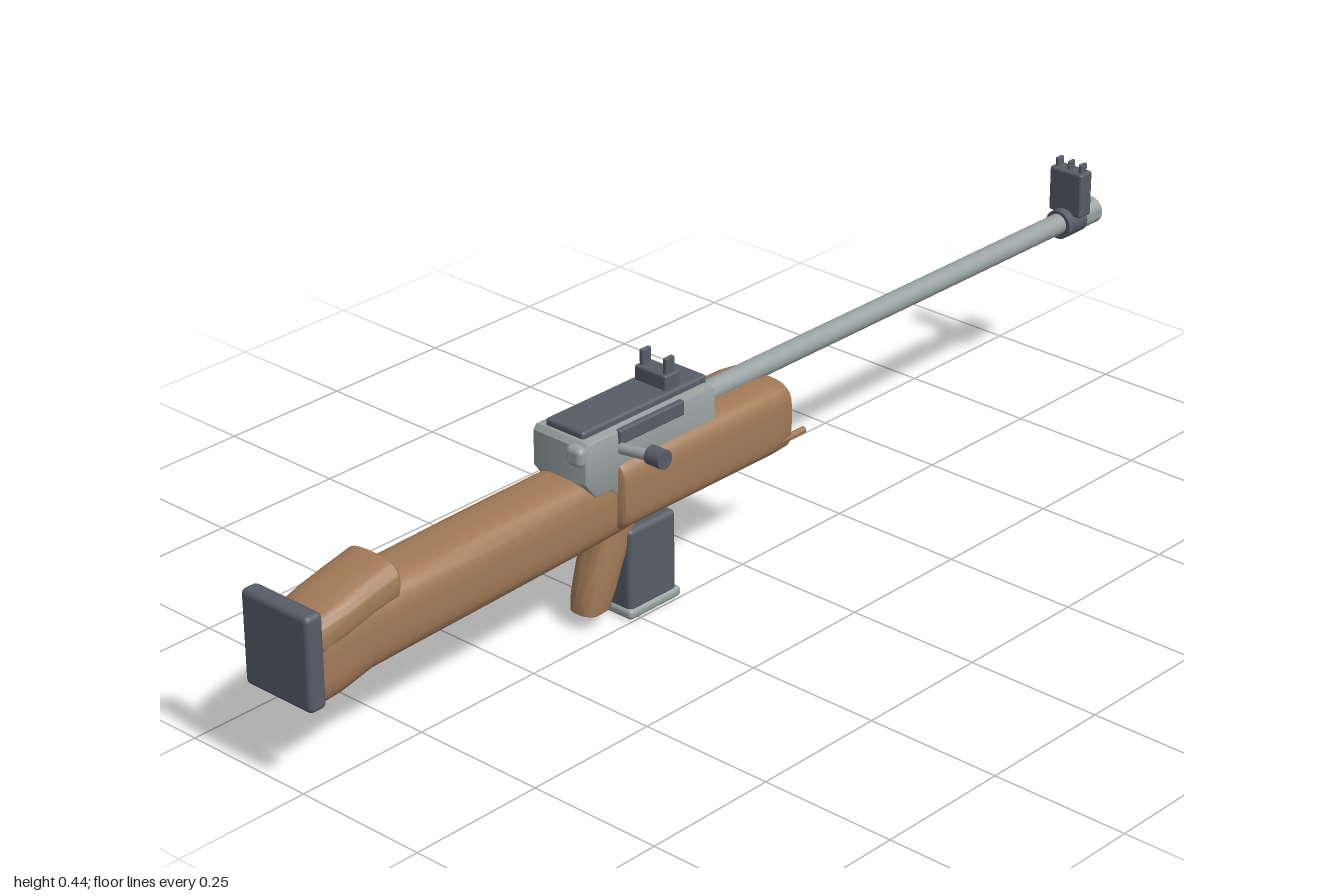
import * as THREE from 'three';
import { RoundedBoxGeometry } from 'three/addons/geometries/RoundedBoxGeometry.js';
import { toCreasedNormals } from 'three/addons/utils/BufferGeometryUtils.js';

const CX = -0.047; // centre line of the body

const wood = new THREE.MeshStandardMaterial({ name: 'wood', color: 0xa27a58 });
const steel = new THREE.MeshStandardMaterial({ name: 'steel', color: 0x99a2a2 });
const darkMetal = new THREE.MeshStandardMaterial({ name: 'darkMetal', color: 0x575c66 });

// Skin over superellipse sections [z, centreY, halfWidth, halfHeight, power], z increasing
function loft(sections, sides = 40) {
  const pos = [], idx = [];
  const n = sections.length;
  for (const [z, cy, hw, hh, p] of sections) {
    for (let j = 0; j < sides; j++) {
      const t = ((j + 0.5) / sides) * Math.PI * 2;
      const c = Math.cos(t), s = Math.sin(t);
      pos.push(hw * Math.sign(c) * Math.abs(c) ** (2 / p), cy + hh * Math.sign(s) * Math.abs(s) ** (2 / p), z);
    }
  }
  for (let i = 0; i < n - 1; i++) {
    for (let j = 0; j < sides; j++) {
      const k = (j + 1) % sides;
      const a = i * sides + j, b = i * sides + k, c = b + sides, d = a + sides;
      idx.push(a, b, c, a, c, d);
    }
  }
  pos.push(0, sections[0][1], sections[0][0], 0, sections[n - 1][1], sections[n - 1][0]);
  const last = (n - 1) * sides;
  for (let j = 0; j < sides; j++) {
    const k = (j + 1) % sides;
    idx.push(n * sides, k, j, n * sides + 1, last + j, last + k);
  }
  const g = new THREE.BufferGeometry();
  g.setAttribute('position', new THREE.Float32BufferAttribute(pos, 3));
  g.setIndex(idx);
  return toCreasedNormals(g, 0.7);
}

export function createModel() {
  const model = new THREE.Group();
  model.name = 'targetRifle';

  const add = (name, geometry, material, x = 0, y = 0, z = 0, parent = model) => {
    const mesh = new THREE.Mesh(geometry, material);
    mesh.name = name;
    mesh.position.set(x, y, z);
    parent.add(mesh);
    return mesh;
  };
  // Rounded box given by its extents
  const box = (name, material, [x0, x1], [y0, y1], [z0, z1], r) =>
    add(name, new RoundedBoxGeometry(x1 - x0, y1 - y0, z1 - z0, 2, r), material,
      (x0 + x1) / 2, (y0 + y1) / 2, (z0 + z1) / 2);
  // Cylinder lying along z
  const rod = (name, material, r, x, y, z0, z1, sides = 24) =>
    add(name, new THREE.CylinderGeometry(r, r, z1 - z0, sides).rotateX(Math.PI / 2), material, x, y, (z0 + z1) / 2);

  // Butt plate
  box('buttPlate', darkMetal, [-0.122, 0.028], [0.148, 0.315], [0.965, 1], 0.01);
  box('buttSpacer', wood, [-0.09, -0.005], [0.17, 0.265], [0.94, 0.975], 0.008);

  // Wooden stock, from under the action back to the butt
  add('stock', loft([
    [0.1, 0.23, 0.054, 0.045, 3.5], [0.3, 0.232, 0.058, 0.064, 3.5], [0.4, 0.231, 0.06, 0.067, 3.5],
    [0.6, 0.226, 0.063, 0.067, 3.5], [0.78, 0.221, 0.065, 0.066, 3.5], [0.85, 0.217, 0.063, 0.066, 3.5],
    [0.91, 0.206, 0.06, 0.072, 3.5], [0.945, 0.203, 0.059, 0.073, 3.5], [0.958, 0.204, 0.054, 0.066, 3.5],
  ]), wood, CX);

  // Raised cheek piece
  add('cheekPiece', loft([
    [0.788, 0.285, 0.054, 0.033, 3], [0.795, 0.284, 0.06, 0.039, 3], [0.85, 0.273, 0.06, 0.038, 3],
    [0.9, 0.261, 0.06, 0.038, 3], [0.95, 0.247, 0.058, 0.038, 3], [0.957, 0.246, 0.053, 0.033, 3],
  ]), wood, CX);

  // Fore-end
  add('foreEnd', loft([
    [-0.105, 0.249, 0.064, 0.054, 4], [-0.094, 0.249, 0.072, 0.063, 4.5], [-0.06, 0.25, 0.075, 0.065, 4.5],
    [0.295, 0.25, 0.075, 0.065, 4.5], [0.308, 0.25, 0.073, 0.063, 4.5], [0.312, 0.25, 0.068, 0.058, 4.5],
  ]), wood, CX);
  for (const x of [-0.114, 0.02]) rod('foreEndPin', wood, 0.006, x, 0.213, -0.132, -0.07, 12);

  // Pistol grip, skinned upwards
  add('pistolGrip', loft([
    [0.025, -0.32, 0.022, 0.02, 2.6], [0.031, -0.32, 0.029, 0.031, 2.6], [0.06, -0.312, 0.032, 0.036, 2.6],
    [0.11, -0.295, 0.036, 0.036, 2.6], [0.15, -0.278, 0.036, 0.04, 2.6], [0.195, -0.265, 0.037, 0.048, 2.6],
  ]).rotateX(-Math.PI / 2), wood, CX);

  // Magazine
  box('magazine', darkMetal, [-0.089, -0.005], [0.012, 0.165], [0.156, 0.268], 0.01);
  box('magazineBase', steel, [-0.092, -0.001], [0.001, 0.02], [0.148, 0.272], 0.008);

  // Receiver with sloped rear, and its rail
  const side = new THREE.Shape([
    [-0.083, 0.25], [-0.083, 0.36], [-0.09, 0.366], [-0.375, 0.366], [-0.38, 0.36],
    [-0.38, 0.3], [-0.36, 0.273], [-0.325, 0.273], [-0.3, 0.25],
  ].map(([u, v]) => new THREE.Vector2(u, v)).reverse());
  const receiver = new THREE.ExtrudeGeometry(side, {
    depth: 0.104, bevelEnabled: true, bevelThickness: 0.008, bevelSize: 0.005, bevelSegments: 2,
  }).translate(0, 0, -0.052).rotateY(Math.PI / 2);
  add('receiver', toCreasedNormals(receiver, 0.6), steel, CX);
  box('topRail', darkMetal, [-0.09, -0.005], [0.36, 0.383], [0.08, 0.372], 0.006);
  box('ejectionPort', darkMetal, [0.006, 0.018], [0.345, 0.372], [0.158, 0.31], 0.004);
  box('boltShroud', steel, [-0.025, 0.012], [0.33, 0.366], [0.35, 0.397], 0.011);

  // Bolt handle
  const bolt = new THREE.Group();
  bolt.name = 'boltHandle';
  bolt.position.set(0.031, 0.349, 0.322);
  const stem = add('boltStem', new THREE.CylinderGeometry(0.0095, 0.0095, 0.07, 20).rotateZ(-Math.PI / 2), steel, 0.035, 0.004, -0.003, bolt);
  stem.rotation.set(0, 0.08, 0.09);
  add('boltKnob', new THREE.CylinderGeometry(0.0165, 0.0165, 0.031, 24).rotateZ(Math.PI / 2), darkMetal, 0.0745, 0.008, -0.006, bolt);
  model.add(bolt);

  // Barrel and hollow muzzle
  rod('barrel', steel, 0.019, CX, 0.322, -0.97, 0.055);
  const muzzle = [[0.012, 0.03], [0.012, -0.03], [0.024, -0.03], [0.025, -0.027], [0.025, 0.028], [0.023, 0.03], [0.012, 0.03]]
    .map(([r, y]) => new THREE.Vector2(r, y));
  const muzzleGeo = toCreasedNormals(new THREE.LatheGeometry(muzzle, 24).rotateX(-Math.PI / 2), 0.6);
  add('muzzle', muzzleGeo, steel, CX, 0.32, -0.97);

  // Front sight
  rod('frontSightBand', darkMetal, 0.027, CX, 0.32, -0.952, -0.9);
  box('frontSightBlock', darkMetal, [-0.083, -0.011], [0.335, 0.42], [-0.95, -0.917], 0.005);
  for (const dx of [-0.026, 0, 0.026]) {
    const h = dx ? 0.0035 : 0.0025;
    box('frontSightProng', darkMetal, [CX + dx - h, CX + dx + h], [0.41, 0.436], [-0.942, -0.925], 0.002);
  }

  // Rear sight
  box('rearSightBase', darkMetal, [-0.082, -0.012], [0.378, 0.409], [0.136, 0.172], 0.004);
  for (const dx of [-0.026, 0.026]) {
    box('rearSightProng', darkMetal, [CX + dx - 0.004, CX + dx + 0.004], [0.4, 0.436], [0.144, 0.165], 0.002);
  }
  return model;
}
